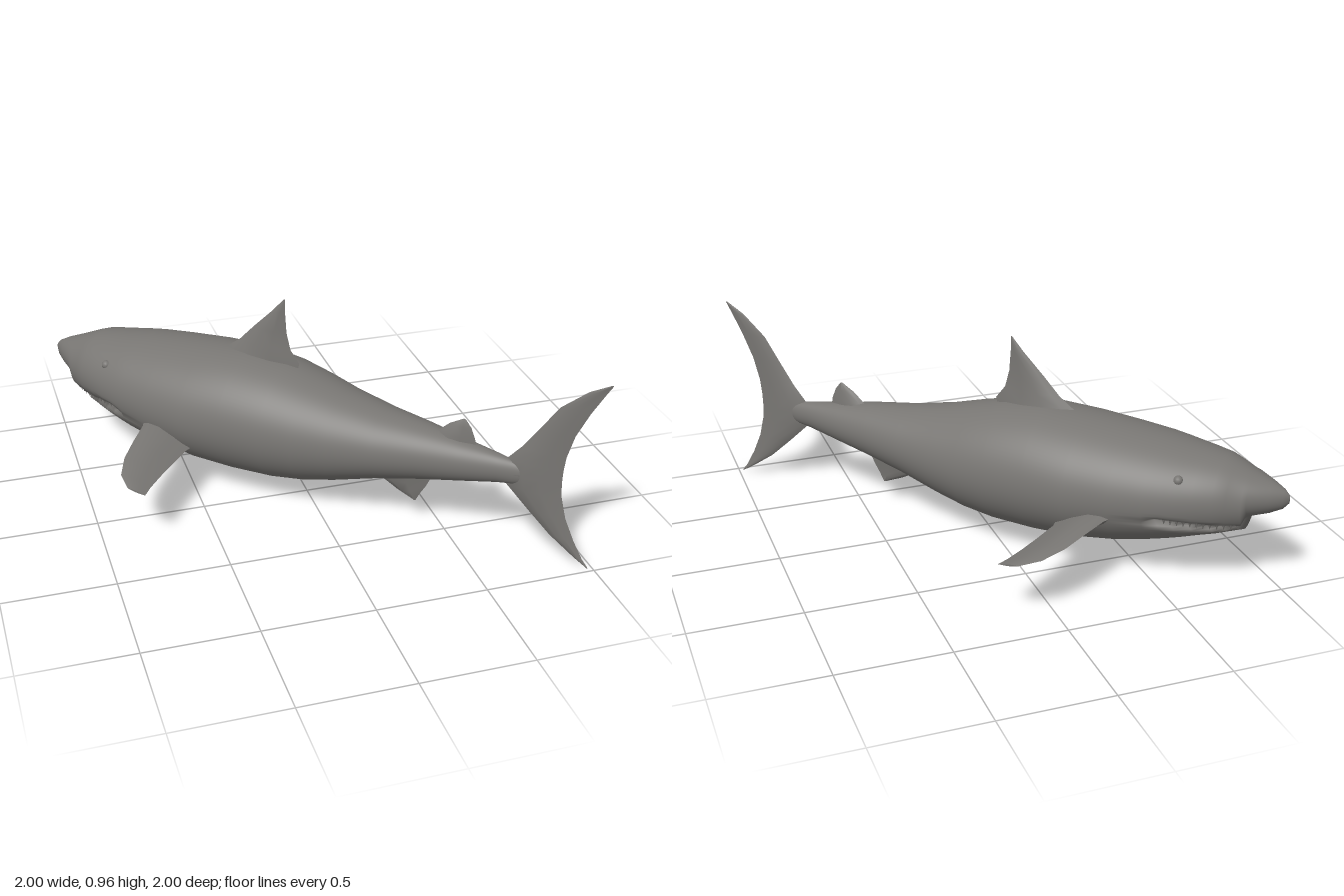
import * as THREE from 'three';
import { toCreasedNormals } from 'three/addons/utils/BufferGeometryUtils.js';

// Body stations: [position along body, top, bottom, half width]
const STATIONS = [
  [-1.414, 0.455, 0.42, 0.005], [-1.39, 0.48, 0.39, 0.03], [-1.34, 0.505, 0.365, 0.07],
  [-1.26, 0.535, 0.34, 0.127], [-1.24, 0.545, 0.27, 0.138], [-1.18, 0.57, 0.252, 0.173],
  [-1.13, 0.587, 0.235, 0.2], [-1.05, 0.6, 0.212, 0.228], [-0.98, 0.61, 0.19, 0.25],
  [-0.92, 0.62, 0.173, 0.266], [-0.85, 0.63, 0.155, 0.282], [-0.7, 0.645, 0.12, 0.304],
  [-0.5, 0.662, 0.093, 0.322], [-0.3, 0.672, 0.085, 0.315], [-0.1, 0.65, 0.09, 0.293],
  [0.05, 0.615, 0.11, 0.265], [0.2, 0.575, 0.145, 0.225], [0.4, 0.535, 0.205, 0.178],
  [0.6, 0.51, 0.25, 0.13], [0.78, 0.48, 0.285, 0.085], [0.95, 0.455, 0.32, 0.045],
  [1.02, 0.44, 0.33, 0.03], [1.1, 0.42, 0.35, 0.01],
];

const mouthY = (u) => THREE.MathUtils.mapLinear(u, -1.24, -0.88, 0.3, 0.335);

// Skin a series of equal-length rings, cap both ends, and face outward
function loft(rings) {
  const n = rings[0].length;
  const pts = rings.flat();
  const faces = [];
  for (let i = 0; i < rings.length - 1; i++) {
    for (let j = 0; j < n; j++) {
      const a = i * n + j, b = i * n + ((j + 1) % n);
      faces.push([a, b, a + n], [b, b + n, a + n]);
    }
  }
  const last = (rings.length - 1) * n;
  for (let j = 1; j < n - 1; j++) {
    faces.push([0, j + 1, j], [last, last + j, last + j + 1]);
  }
  const cross = new THREE.Vector3();
  let volume = 0;
  for (const [a, b, c] of faces) volume += cross.crossVectors(pts[b], pts[c]).dot(pts[a]);
  if (volume < 0) faces.forEach((f) => f.reverse());
  const geo = new THREE.BufferGeometry().setFromPoints(pts);
  geo.setIndex(faces.flat());
  geo.computeVertexNormals();
  return geo;
}

// Elliptical body with a groove pressed in along the mouth
function bodyGeometry() {
  const SEG = 96;
  return loft(STATIONS.map(([u, top, bottom, w]) => {
    const mid = (top + bottom) / 2, h = (top - bottom) / 2;
    return Array.from({ length: SEG }, (_, j) => {
      const a = (j / SEG) * Math.PI * 2;
      const y = mid + h * Math.sin(a);
      const inMouth = u > -1.25 && u < -0.9;
      const g = inMouth ? Math.max(0, 1 - Math.abs(y - mouthY(u)) / 0.024) : 0;
      return new THREE.Vector3(u + 0.04 * g, y, w * Math.cos(a) * (1 - 0.2 * g));
    });
  }));
}

// Fin from sections [leading point, trailing point, half thickness], thin along the given axis
function finGeometry(sections, axis) {
  const profile = [[0, 0], [0.12, 0.55], [0.35, 1], [0.65, 0.75], [1, 0],
    [0.65, -0.75], [0.35, -1], [0.12, -0.55]];
  const rings = sections.map(([lead, trail, half]) => profile.map(([t, k]) =>
    new THREE.Vector3(...lead).lerp(new THREE.Vector3(...trail), t).addScaledVector(axis, k * half)));
  return toCreasedNormals(loft(rings), 0.9);
}

// Fin standing in the body's middle plane: rows of [height, leading, trailing, half thickness]
const uprightFin = (rows) => finGeometry(
  rows.map(([y, l, t, half]) => [[l, y, 0], [t, y, 0], half]), new THREE.Vector3(0, 0, 1));

// Body half width and height at a point on the flank
function halfWidthAt(u, y) {
  const i = Math.max(1, STATIONS.findIndex((s) => s[0] >= u));
  const p = STATIONS[i - 1], q = STATIONS[i];
  const t = (u - p[0]) / (q[0] - p[0]);
  const [top, bottom, w] = [1, 2, 3].map((k) => THREE.MathUtils.lerp(p[k], q[k], t));
  const s = (y - (top + bottom) / 2) / ((top - bottom) / 2);
  return w * Math.sqrt(Math.max(0, 1 - s * s));
}

export function createModel() {
  const skin = new THREE.MeshStandardMaterial({ color: 0x787673 });
  skin.name = 'grey skin';
  const model = new THREE.Group();
  model.name = 'shark';
  const swimmer = new THREE.Group();
  swimmer.name = 'sharkBody';
  swimmer.rotation.y = -Math.PI / 4; // lies along the diagonal
  model.add(swimmer);

  const add = (name, geo, parent = swimmer) => {
    const mesh = new THREE.Mesh(geo, skin);
    mesh.name = name;
    parent.add(mesh);
    return mesh;
  };

  add('body', bodyGeometry());

  add('dorsalFin', uprightFin([
    [0.58, -0.5, -0.06, 0.06], [0.66, -0.43, -0.04, 0.042], [0.72, -0.35, -0.085, 0.032],
    [0.8, -0.275, -0.105, 0.022], [0.9, -0.175, -0.112, 0.011], [0.965, -0.118, -0.112, 0.002]]));

  add('secondDorsalFin', uprightFin([
    [0.44, 0.6, 0.84, 0.035], [0.5, 0.655, 0.83, 0.026], [0.55, 0.71, 0.81, 0.014],
    [0.585, 0.77, 0.782, 0.003]]));

  add('analFin', uprightFin([
    [0.29, 0.34, 0.65, 0.045], [0.2, 0.36, 0.61, 0.03], [0.15, 0.455, 0.58, 0.016],
    [0.11, 0.55, 0.56, 0.003]]));

  add('tailFin', uprightFin([
    [0.9, 1.405, 1.414, 0.002], [0.85, 1.315, 1.385, 0.004], [0.75, 1.2, 1.33, 0.007],
    [0.63, 1.12, 1.275, 0.011], [0.52, 1.045, 1.245, 0.016], [0.45, 0.985, 1.237, 0.022],
    [0.385, 0.97, 1.235, 0.024], [0.32, 0.985, 1.24, 0.022], [0.22, 1.09, 1.265, 0.014],
    [0.12, 1.2, 1.31, 0.008], [0.04, 1.315, 1.355, 0.004], [0, 1.38, 1.387, 0.002]]));

  // Paired parts: [sideways, lead, lead height, trail, trail height, half thickness]
  const pectoral = [
    [0.2, -0.76, 0.32, -0.45, 0.25, 0.045], [0.32, -0.7, 0.322, -0.467, 0.25, 0.034],
    [0.453, -0.665, 0.312, -0.453, 0.252, 0.024], [0.575, -0.63, 0.298, -0.438, 0.255, 0.017],
    [0.686, -0.573, 0.284, -0.42, 0.258, 0.011], [0.75, -0.495, 0.272, -0.403, 0.26, 0.004]];
  for (const [side, s] of [['left', -1], ['right', 1]]) {
    add(`${side}PectoralFin`, finGeometry(
      pectoral.map(([v, l, ly, t, ty, half]) => [[l, ly, s * v], [t, ty, s * v], half]),
      new THREE.Vector3(0, 1, 0)));

    const eye = add(`${side}Eye`, new THREE.SphereGeometry(0.022, 16, 10));
    eye.position.set(-0.98, 0.52, s * (halfWidthAt(-0.98, 0.52) - 0.012));

    const teeth = new THREE.Group();
    teeth.name = `${side}Teeth`;
    swimmer.add(teeth);
    for (let i = 0; i < 12; i++) {
      const u = -1.225 + i * 0.026;
      const y = mouthY(u) + 0.004;
      const tooth = add('tooth', new THREE.ConeGeometry(0.008, 0.028, 4), teeth);
      tooth.rotation.x = Math.PI;
      tooth.position.set(u, y, s * halfWidthAt(u, y) * 0.93);
    }
  }
  return model;
}
